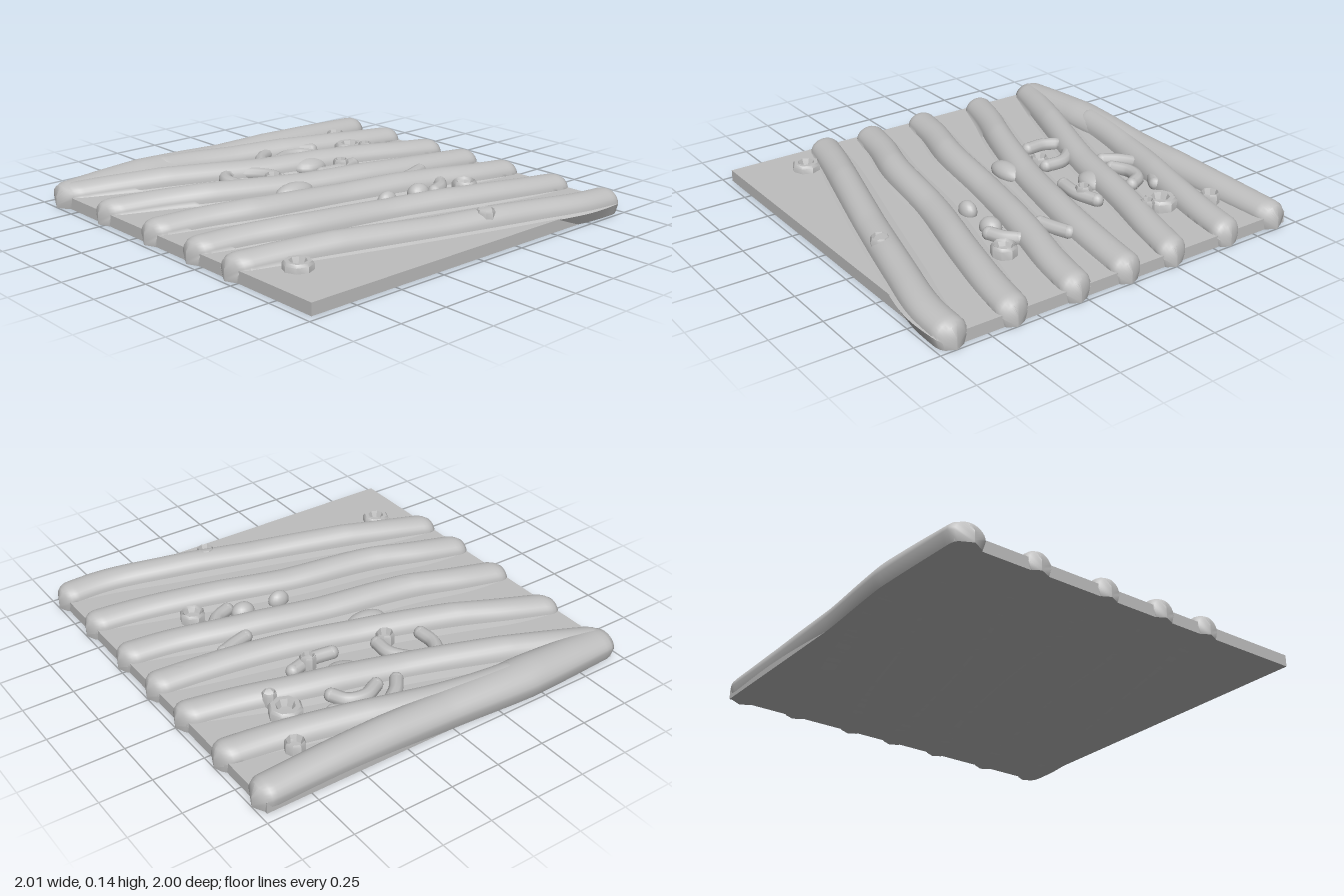
import * as THREE from 'three';
import { toCreasedNormals } from 'three/addons/utils/BufferGeometryUtils.js';

const stone = new THREE.MeshStandardMaterial({ color: 0xbebebe });
stone.name = 'grey stone';

function add(group, name, geometry, x = 0, y = 0, z = 0) {
  const mesh = new THREE.Mesh(geometry, stone);
  mesh.name = name;
  mesh.position.set(x, y, z);
  group.add(mesh);
  return mesh;
}

// Piecewise-smooth lookup of a value along z
function curveOf(pairs) {
  return z => {
    let i = 0;
    while (i < pairs.length - 2 && z > pairs[i + 1][0]) i++;
    const [z0, a] = pairs[i], [z1, b] = pairs[i + 1];
    const t = THREE.MathUtils.clamp((z - z0) / (z1 - z0), 0, 1);
    return a + (b - a) * t;
  };
}
const crest = curveOf([[-0.95, 0.118], [-0.6, 0.133], [-0.3, 0.14], [0, 0.133], [0.25, 0.14], [0.5, 0.144], [0.75, 0.13], [0.95, 0.115]]);

// A rounded ridge swept from back to front, with soft skirts and domed ends
function ridgeGeometry(path, width, start, end, skirt) {
  const curve = new THREE.CatmullRomCurve3(path.map(([x, z]) => new THREE.Vector3(x, 0, z)));
  const rings = 72, pos = [], index = [];
  const arch = 14, per = arch + 5;
  for (let i = 0; i <= rings; i++) {
    const t = i / rings;
    const p = curve.getPoint(t);
    // round off both ends
    const fromEnd = Math.min(start ? p.z - path[0][1] : 1, end ? path[path.length - 1][1] - p.z : 1);
    const k = Math.min(1, Math.max(0, fromEnd) / 0.07);
    const round = Math.max(0.02, Math.sqrt(1 - (1 - k) ** 2));
    const w = width(p.z) * round;
    const mid = 0.055, h = mid + (crest(p.z) - mid) * round;
    const flare = skirt * Math.max(0, 1 - (p.z / 0.97) ** 4);
    pos.push(p.x - w * 0.8, 0, p.z);
    pos.push(p.x - w - flare, mid * round, p.z);
    for (let j = 0; j <= arch; j++) {
      const a = Math.PI * (1 - j / arch);
      const low = 0.055 + (flare > 0 ? flare * 0.2 : 0);
      pos.push(p.x + Math.cos(a) * w, low * round + (h - low * round) * Math.sin(a), p.z);
    }
    pos.push(p.x + w + flare * 0.35, mid * round, p.z);
    pos.push(p.x + w * 0.8, 0, p.z);
  }
  for (let i = 0; i < rings; i++) {
    for (let j = 0; j < per; j++) {
      const n = (j + 1) % per;
      const a = i * per + j, b = i * per + n, c = a + per, d = b + per;
      index.push(a, c, b, b, c, d);
    }
  }
  // end caps
  for (let j = 1; j < per - 1; j++) {
    const l = rings * per;
    index.push(0, j, j + 1, l, l + j + 1, l + j);
  }
  const geo = new THREE.BufferGeometry();
  geo.setAttribute('position', new THREE.Float32BufferAttribute(pos, 3));
  geo.setIndex(index);
  return toCreasedNormals(geo, 0.9);
}

// An eight-sided raised ring with a sunken middle
function ringGeometry(outer, inner, height) {
  const profile = [[outer, -0.03], [outer, height * 0.7], [outer * 0.86, height], [inner * 1.15, height],
    [inner, height * 0.7], [inner * 0.8, height * 0.25], [0, height * 0.2]];
  return toCreasedNormals(new THREE.LatheGeometry(profile.map(p => new THREE.Vector2(...p)), 8), 0.7);
}

export function createModel() {
  const model = new THREE.Group();
  model.name = 'ridgedPanel';

  // Flat slab
  const slab = new THREE.BoxGeometry(1.915, 0.058, 1.93);
  add(model, 'slab', slab, 0.0075, 0.029, -0.005);

  // Flowing ridges, from the model's right to its left
  const even = () => 0.08;
  const ridges = new THREE.Group();
  ridges.name = 'ridges';
  model.add(ridges);
  const edge = curveOf([[-0.95, 0.082], [0, 0.095], [0.45, 0.11], [0.95, 0.092]]);
  add(ridges, 'edgeRidge', ridgeGeometry([[-0.88, -1], [-0.87, -0.5], [-0.875, 0], [-0.89, 0.45], [-0.88, 1]], edge, true, true, 0));
  add(ridges, 'mergingRidge', ridgeGeometry([[-0.58, -1], [-0.62, -0.75], [-0.69, -0.45], [-0.77, -0.15], [-0.85, 0.2], [-0.88, 0.45]], even, true, true, 0.03));
  const paths = [
    [[-0.25, -1], [-0.31, -0.75], [-0.4, -0.45], [-0.52, 0], [-0.68, 0.45], [-0.78, 0.72], [-0.88, 0.99]],
    [[0.01, -1], [-0.02, -0.75], [-0.07, -0.45], [-0.18, 0], [-0.33, 0.45], [-0.44, 0.72], [-0.53, 0.985]],
    [[0.29, -1], [0.25, -0.75], [0.17, -0.45], [0.07, 0], [-0.01, 0.45], [-0.09, 0.72], [-0.15, 0.985]],
    [[0.62, -1], [0.58, -0.75], [0.51, -0.45], [0.39, 0], [0.31, 0.45], [0.23, 0.72], [0.17, 0.985]],
    [[0.92, -1], [0.91, -0.75], [0.84, -0.45], [0.72, 0], [0.59, 0.45], [0.51, 0.72], [0.44, 0.985]],
  ];
  for (const path of paths) add(ridges, 'ridge', ridgeGeometry(path, even, true, true, 0.06));

  // Raised rings with sunken centres: x, y, z, outer radius, inner radius
  const rings = [
    [0.65, 0.055, 0.76, 0.07, 0.036], [0.37, 0.07, -0.55, 0.062, 0.046], [-0.51, 0.07, -0.59, 0.08, 0.04],
    [-0.735, 0.07, -0.69, 0.048, 0.036], [-0.315, 0.078, 0.1, 0.045, 0.033], [-0.27, 0.085, -0.31, 0.04, 0.026],
    [0.805, 0.1, -0.22, 0.045, 0.035], [-0.41, 0.09, -0.61, 0.035, 0.024],
  ];
  for (const [x, y, z, outer, inner] of rings) add(model, 'ring', ringGeometry(outer, inner, 0.042), x, y, z);

  // Curved raised cords between the ridges
  const cords = [
    [[-0.32, 0.05], [-0.42, 0.05], [-0.52, 0.13], [-0.54, 0.22], [-0.47, 0.27], [-0.37, 0.27]],
    [[-0.63, -0.42], [-0.71, -0.29], [-0.72, -0.2], [-0.67, -0.11], [-0.6, -0.05]],
    [[-0.53, -0.36], [-0.6, -0.32], [-0.62, -0.24], [-0.58, -0.15]],
    [[-0.28, -0.4], [-0.25, -0.28], [-0.26, -0.17]],
    [[0.03, -0.58], [0.06, -0.5], [0.08, -0.43]],
    [[0.25, -0.5], [0.3, -0.45], [0.33, -0.38]],
  ];
  for (const points of cords) {
    const curve = new THREE.CatmullRomCurve3(points.map(([x, z]) => new THREE.Vector3(x, 0.078, z)));
    add(model, 'cord', new THREE.TubeGeometry(curve, 28, 0.034, 10));
    for (const [x, z] of [points[0], points[points.length - 1]]) {
      add(model, 'cordEnd', new THREE.SphereGeometry(0.034, 12, 8), x, 0.078, z);
    }
  }

  // Low lumps: x, z, half-size in x and z
  const lumps = [[-0.13, 0.12, 0.06, 0.11], [0.28, -0.32, 0.05, 0.06], [0.27, -0.12, 0.04, 0.055], [-0.42, -0.22, 0.08, 0.1]];
  for (const [x, z, sx, sz] of lumps) {
    add(model, 'lump', new THREE.SphereGeometry(1, 20, 12), x, 0.07, z).scale.set(sx, 0.05, sz);
  }
  return model;
}
